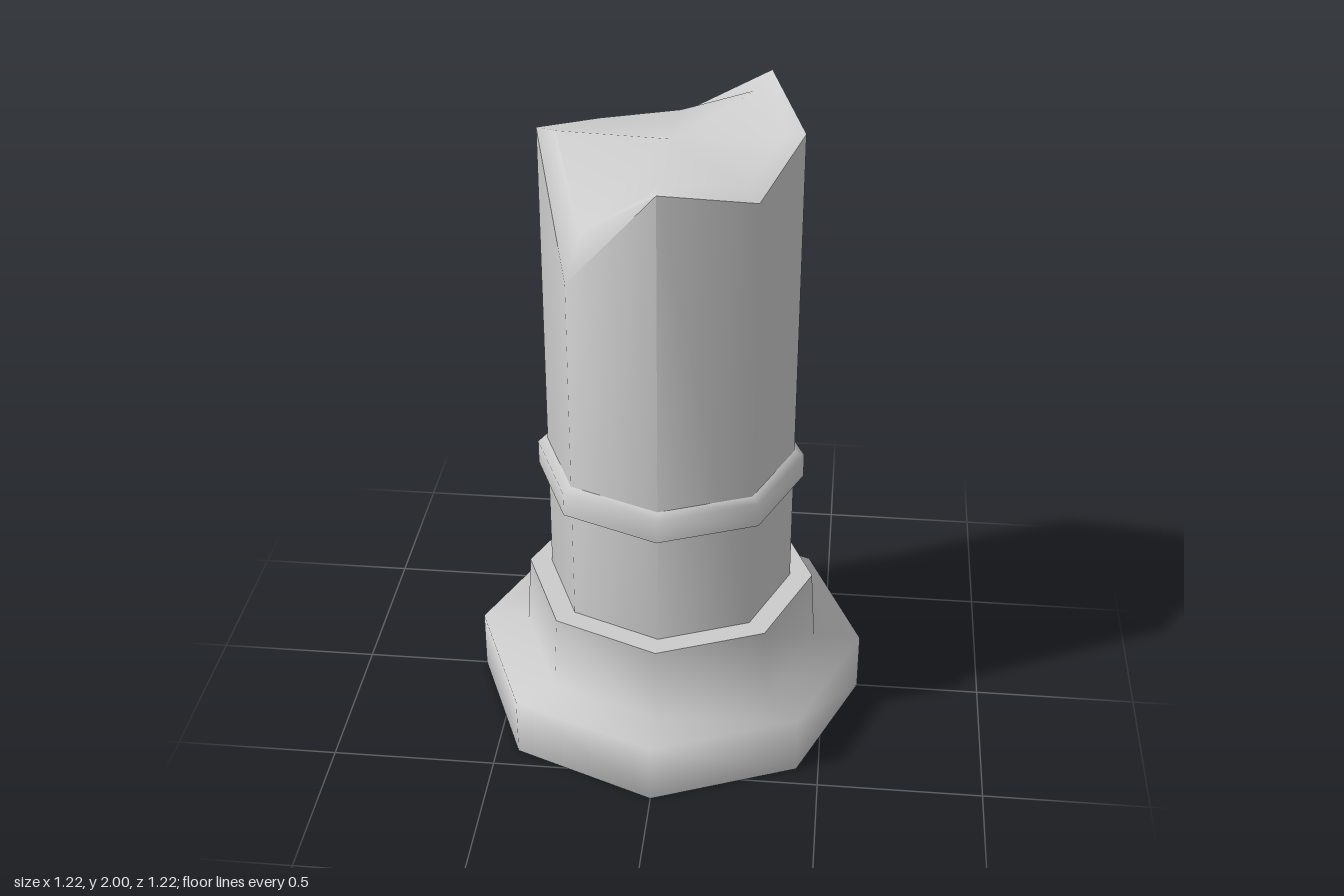
import * as THREE from 'three';
import { toCreasedNormals } from 'three/addons/utils/BufferGeometryUtils.js';

const SIDES = 8;
const material = new THREE.MeshStandardMaterial({ color: 0xcccccc });

// Eight-sided turned part from [radius, height] pairs, listed bottom to top
function turned(profile) {
  return new THREE.LatheGeometry(profile.map(([r, y]) => new THREE.Vector2(r, y)), SIDES);
}

function addPart(group, name, geometry) {
  const mesh = new THREE.Mesh(geometry, material);
  mesh.name = name;
  group.add(mesh);
}

// Shaft whose rim corners are broken off at different heights
function brokenShaft() {
  const centre = 1.885;
  // Corner heights, going round from the front towards +x
  const rim = [1.88, 1.82, 1.915, 2.0, 1.815, 1.82, 1.905, 1.55];
  const profile = [[0.38, 0.42], [0.38, centre], [0.325, centre], [0, centre]];
  const geometry = turned(profile);
  const pos = geometry.attributes.position;
  for (let i = 0; i <= SIDES; i++) {
    const y = rim[i % SIDES];
    pos.setY(i * profile.length + 1, y);
    // The inner ring follows the rim more gently
    pos.setY(i * profile.length + 2, centre + (y - centre) * 0.58);
  }
  return toCreasedNormals(geometry, Math.PI / 3);
}

export function createModel() {
  const group = new THREE.Group();
  group.name = 'brokenColumn';

  // Wide slab and tapered foot, softly shaded as one piece
  addPart(group, 'base', turned([
    [0, 0], [0.57, 0], [0.612, 0], [0.612, 0.19], [0.465, 0.19], [0.45, 0.425],
  ]));
  addPart(group, 'baseLedge', turned([[0.45, 0.425], [0.37, 0.425]]));

  addPart(group, 'shaft', brokenShaft());

  // Raised band around the shaft
  addPart(group, 'collarUnderside', turned([[0.375, 0.785], [0.41, 0.795]]));
  addPart(group, 'collar', turned([[0.41, 0.795], [0.41, 0.87], [0.375, 0.885]]));

  return group;
}
